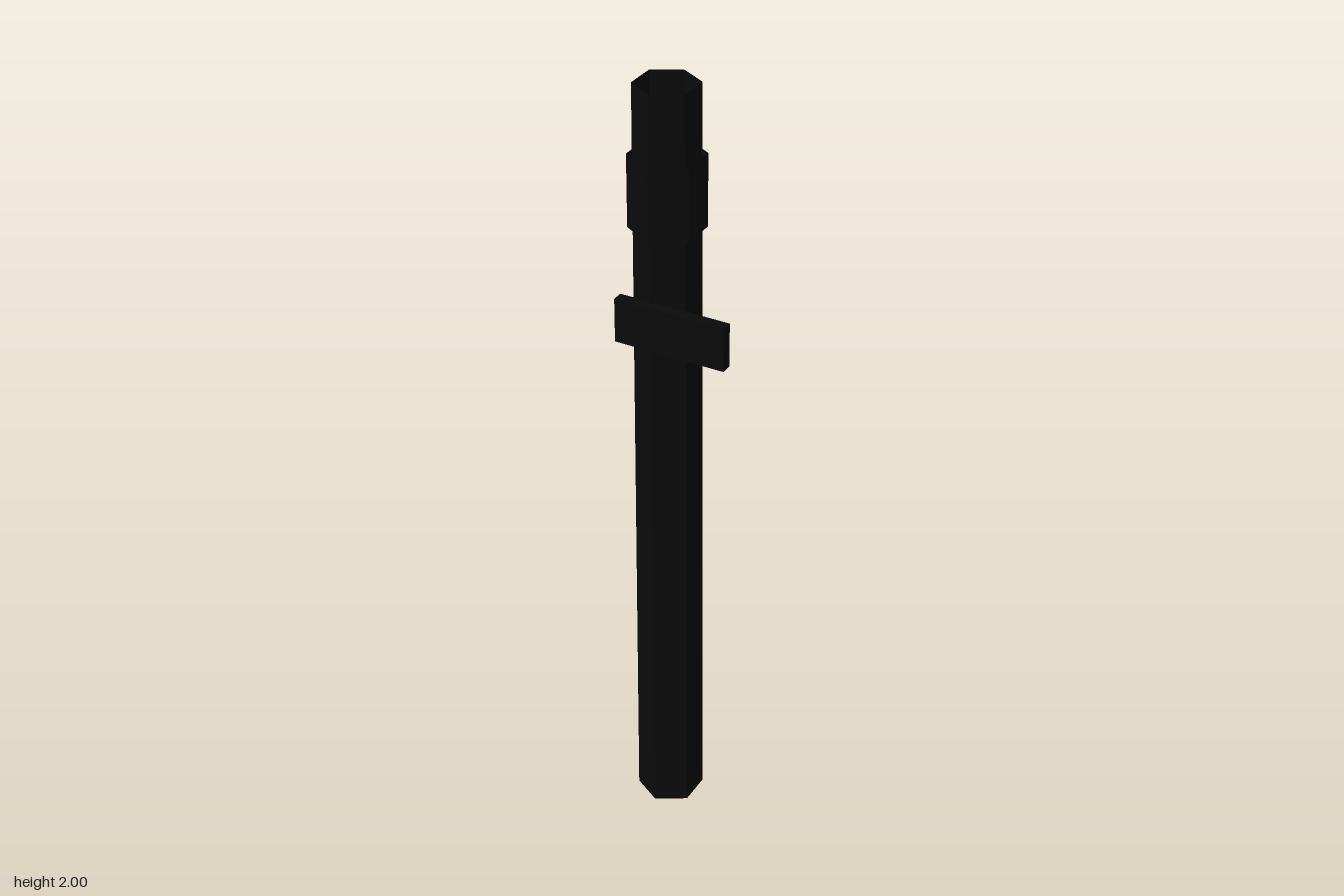
import * as THREE from 'three';

export function createModel() {
  const group = new THREE.Group();
  const black = new THREE.MeshStandardMaterial({ color: 0x0b0b0b, flatShading: true, side: THREE.DoubleSide });
  black.name = 'black';

  const add = (name, geometry, x, y, z) => {
    const mesh = new THREE.Mesh(geometry, black);
    mesh.name = name;
    mesh.position.set(x, y, z);
    group.add(mesh);
  };

  // Open six-sided tube, centred on the pole axis
  const tube = (name, topRadius, bottomRadius, y0, y1) =>
    add(name, new THREE.CylinderGeometry(topRadius, bottomRadius, y1 - y0, 6, 1, true),
      -0.0575, (y0 + y1) / 2, -0.004);

  tube('pole', 0.078, 0.084, 0, 2);
  tube('collar', 0.0915, 0.0915, 1.648, 1.83);

  // Flat bar fixed across the front of the pole
  add('crossPlate', new THREE.BoxGeometry(0.285, 0.112, 0.028), 0, 1.431, 0.0815);

  return group;
}
